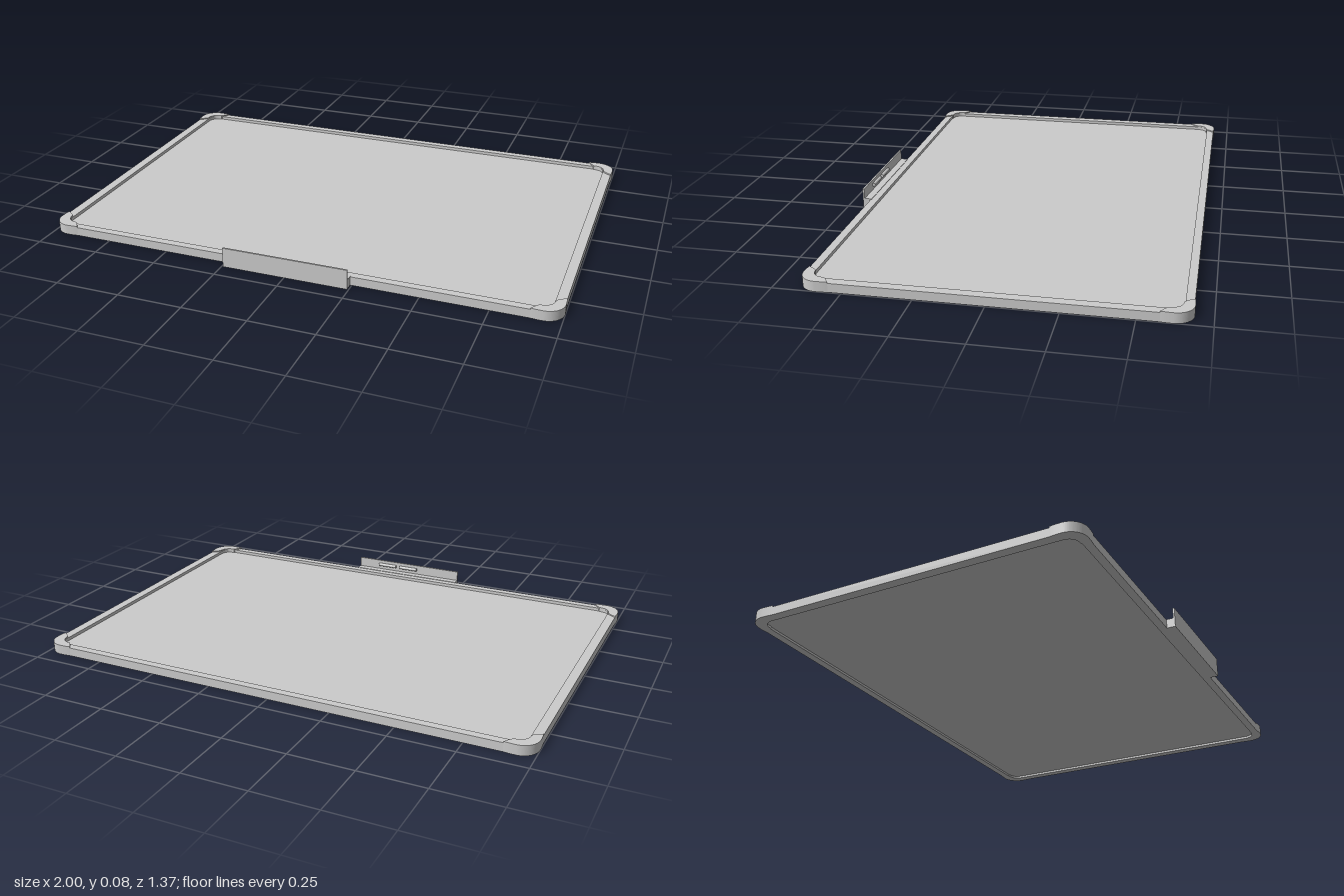
import * as THREE from 'three';

const mat = new THREE.MeshStandardMaterial({ color: 0xcccccc });
const CZ = -0.015; // centre of the tray in depth

function roundedRect(PathType, w, d, r) {
  const p = new PathType();
  p.moveTo(w - r, -d);
  p.absarc(w - r, -d + r, r, -Math.PI / 2, 0);
  p.absarc(w - r, d - r, r, 0, Math.PI / 2);
  p.absarc(-w + r, d - r, r, Math.PI / 2, Math.PI);
  p.absarc(-w + r, -d + r, r, Math.PI, Math.PI * 1.5);
  p.closePath();
  return p;
}

// Flat outline raised from y0 to y1
function slab(shape, y0, y1) {
  const g = new THREE.ExtrudeGeometry(shape, { depth: y1 - y0, bevelEnabled: false, curveSegments: 12 });
  g.rotateX(-Math.PI / 2);
  g.translate(0, y0, 0);
  return g;
}

export function createModel() {
  const model = new THREE.Group();
  const add = (name, geometry, x = 0, y = 0, z = 0) => {
    const m = new THREE.Mesh(geometry, mat);
    m.name = name;
    m.position.set(x, y, z);
    model.add(m);
    return m;
  };

  // Rim with a rounded opening
  const rim = roundedRect(THREE.Shape, 0.997, 0.669, 0.065);
  rim.holes.push(roundedRect(THREE.Path, 0.96, 0.638, 0.045));
  add('rim', slab(rim, 0, 0.034), 0, 0, CZ);

  // Recessed panel
  add('panel', slab(roundedRect(THREE.Shape, 0.965, 0.643, 0.045), 0.009, 0.021), 0, 0, CZ);

  // Raised corner bumpers with tapered ends
  const pad = new THREE.Shape();
  pad.moveTo(-0.11, -0.003);
  pad.quadraticCurveTo(-0.09, 0, -0.065, 0);
  pad.absarc(-0.065, -0.065, 0.065, Math.PI / 2, 0, true);
  pad.quadraticCurveTo(0, -0.09, -0.003, -0.11);
  pad.quadraticCurveTo(-0.022, -0.1, -0.037, -0.085);
  pad.quadraticCurveTo(-0.038, -0.038, -0.085, -0.037);
  pad.quadraticCurveTo(-0.1, -0.022, -0.11, -0.003);
  const padGeometry = slab(pad, 0, 0.039);
  [[1, -1], [-1, -1], [-1, 1], [1, 1]].forEach(([sx, sz], i) => {
    add('cornerBumper', padGeometry, sx, 0, CZ + sz * 0.672).rotation.y = i * Math.PI / 2;
  });

  // Front latch: mounting block, upright lip and hinge knuckles
  add('latchBlock', new THREE.BoxGeometry(0.488, 0.036, 0.036), 0, 0.018, 0.669);
  add('latchLip', new THREE.BoxGeometry(0.488, 0.077, 0.007), 0, 0.0385, 0.6835);
  const knuckle = new THREE.CylinderGeometry(0.007, 0.007, 0.085, 16).rotateZ(Math.PI / 2);
  for (const x of [-0.002, 0.102]) add('latchKnuckle', knuckle, x, 0.058, 0.675);

  return model;
}
